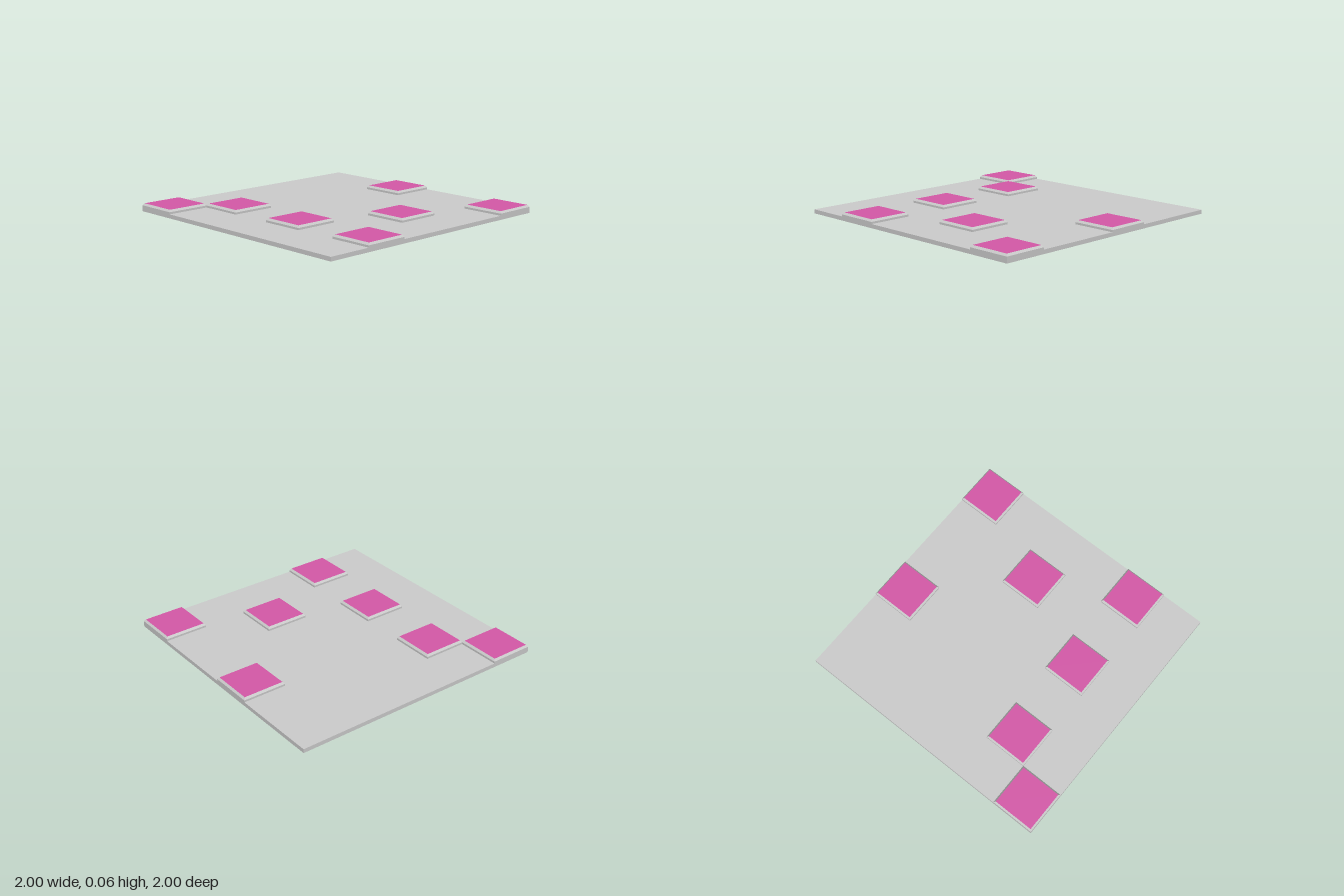
import * as THREE from 'three';

const CELL = 1 / 3, BASE = 0.03, RIM = 0.045, TOP = 0.06, INSET = 0.012;

// Four-sided open ring of walls, square in plan, from y0 up to y1
function squareWalls(bottom, top, y0, y1) {
  const g = new THREE.CylinderGeometry(top / Math.SQRT2, bottom / Math.SQRT2, y1 - y0, 4, 1, true);
  return g.rotateY(Math.PI / 4).translate(0, (y0 + y1) / 2, 0);
}

export function createModel() {
  const model = new THREE.Group();
  model.name = 'tileBoard';
  const grey = new THREE.MeshStandardMaterial({ color: 0xcccccc, flatShading: true });
  const pink = new THREE.MeshStandardMaterial({ color: 0xd458a7 });

  const add = (parent, name, geometry, material) => {
    const mesh = new THREE.Mesh(geometry, material);
    mesh.name = name;
    parent.add(mesh);
  };

  // Flat square board
  add(model, 'board', new THREE.BoxGeometry(2, BASE, 2).translate(0, BASE / 2, 0), grey);

  // Raised tile: upright sides, chamfered rim, coloured top
  const face = CELL - 2 * INSET;
  const sides = squareWalls(CELL, CELL, BASE, RIM);
  const rim = squareWalls(CELL, face, RIM, TOP);
  const top = new THREE.PlaneGeometry(face, face).rotateX(-Math.PI / 2).translate(0, TOP, 0);

  // Occupied cells of the 6 x 6 grid as [column, row], from the back right corner
  const cells = [[0, 0], [1, 1], [5, 2], [1, 3], [3, 4], [1, 5], [5, 5]];
  for (const [col, row] of cells) {
    const tile = new THREE.Group();
    tile.name = 'tile';
    tile.position.set(-1 + (col + 0.5) * CELL, 0, -1 + (row + 0.5) * CELL);
    add(tile, 'tileSides', sides, grey);
    add(tile, 'tileRim', rim, grey);
    add(tile, 'tileTop', top, pink);
    model.add(tile);
  }
  return model;
}
